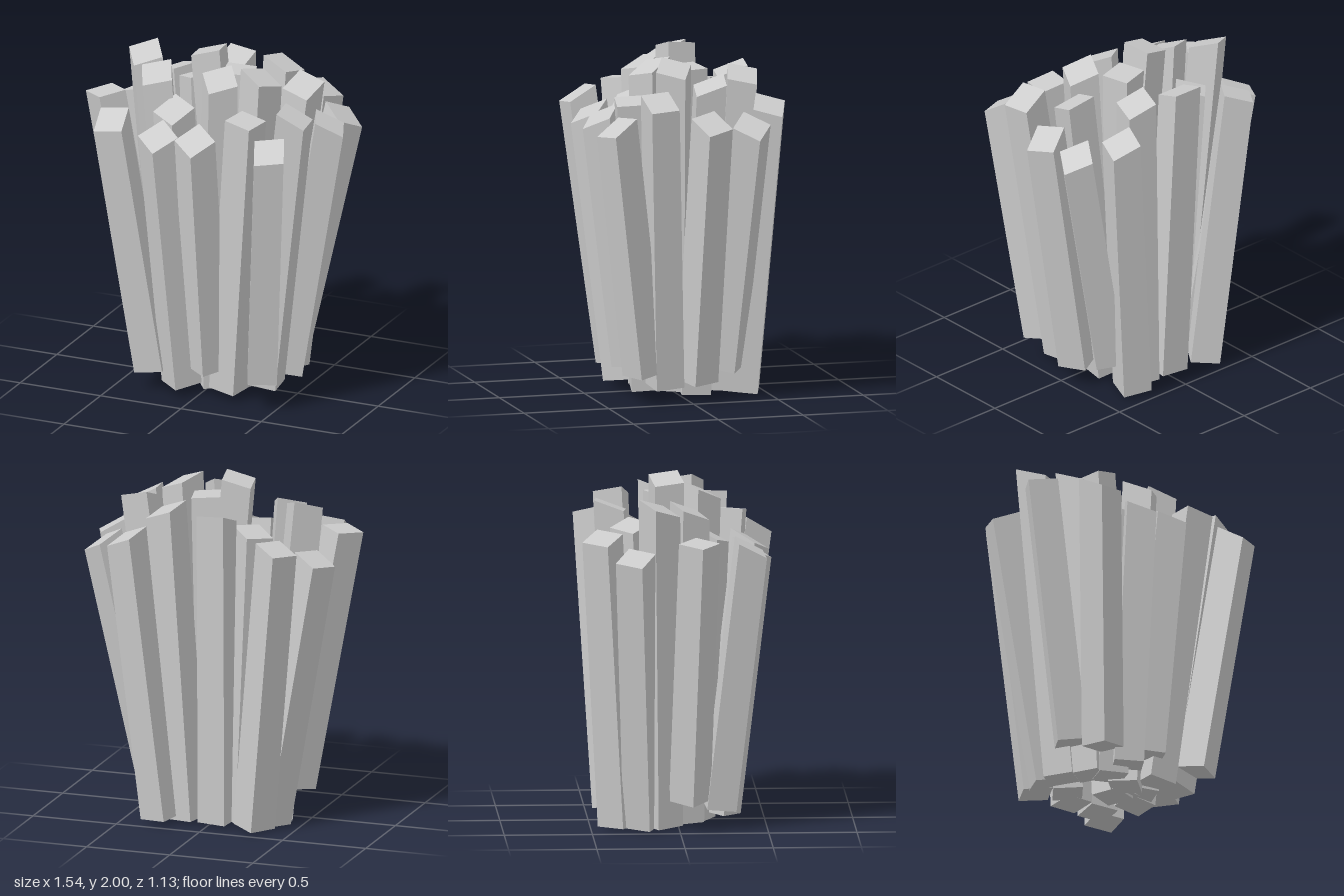
import * as THREE from 'three';

// Sticks grouped by the way their slanted upper end faces.
// slope: rise of that end along x and z.
// Each stick: top centre x, y, z, yaw in degrees, height of the lower end,
// and for those that lean differently, the x of the lower end
const GROUPS = [
  {
    name: 'frontCutStick',
    slope: [-0.05, -0.42],
    sticks: [
      [-0.06, 1.82, -0.38, -7, 0.02],
      [-0.50, 1.87, -0.12, 32, 0.02],
      [0.49, 1.83, -0.10, -9, 0.03, 0.25],
      [-0.35, 1.83, 0.06, 24, 0.03],
      [0.08, 1.88, 0.14, 37, 0.02, 0.02],
      [-0.19, 1.67, 0.18, -27, 0.03],
      [-0.48, 1.64, 0.40, 6, 0.12],
      [-0.18, 1.59, 0.42, -38, 0.06],
      [0.05, 1.60, 0.42, -34, 0.17, 0.05],
      [0.53, 1.62, 0.46, 24, 0.17, 0.40],
    ],
  },
  {
    name: 'leftCutStick',
    slope: [-0.36, 0.05],
    sticks: [
      [0.25, 1.84, -0.36, -15, 0.02],
      [0.45, 1.69, -0.46, -19, 0.03],
      [0.65, 1.61, -0.30, -35, 0.18, 0.34],
      [0.67, 1.64, -0.06, 24, 0.12],
      [0.30, 1.90, 0.06, -27, 0.04],
      [0.58, 1.76, 0.22, 6, 0.09],
    ],
  },
  {
    name: 'rightCutStick',
    slope: [0.2, 0.05],
    sticks: [
      [-0.44, 1.69, -0.44, -34, 0.02],
      [-0.24, 1.73, -0.27, -42, 0.02],
      [-0.61, 1.60, -0.26, -30, 0.02, -0.32],
      [-0.08, 1.97, -0.06, 10, 0.03, 0.10],
    ],
  },
  {
    name: 'squareCutStick',
    slope: [-0.05, 0],
    sticks: [
      [0.10, 1.87, -0.08, 13, 0.02],
      [-0.65, 1.69, 0.10, -38, 0.17, -0.38],
      [0.32, 1.73, 0.32, -11, 0.05, 0.16],
    ],
  },
];
const WIDTH = 0.168;
const UP = new THREE.Vector3(0, 1, 0);

// A square bar fanning outward from its lower end, with a slanted upper end
function createStick([x, y, z, yaw, baseY, baseX = x * 0.62], [slopeX, slopeZ], material) {
  const top = new THREE.Vector3(x, y, z);
  const bottom = new THREE.Vector3(baseX, baseY, z * (z > 0 ? 0.58 : 0.78));
  const axis = top.clone().sub(bottom);
  const geometry = new THREE.BoxGeometry(WIDTH, axis.length(), WIDTH);
  geometry.rotateY(THREE.MathUtils.degToRad(yaw));
  const points = geometry.attributes.position;
  for (let i = 0; i < points.count; i++) {
    const height = points.getY(i);
    if (height > 0) points.setY(i, height + slopeX * points.getX(i) + slopeZ * points.getZ(i));
  }
  geometry.computeVertexNormals();
  const stick = new THREE.Mesh(geometry, material);
  stick.quaternion.setFromUnitVectors(UP, axis.normalize());
  stick.position.copy(top).add(bottom).multiplyScalar(0.5);
  return stick;
}

export function createModel() {
  const model = new THREE.Group();
  model.name = 'bundleOfSticks';
  const material = new THREE.MeshStandardMaterial({ color: 0xcccccc, flatShading: true });
  for (const { name, slope, sticks } of GROUPS) {
    sticks.forEach((data, i) => {
      const stick = createStick(data, slope, material);
      stick.name = `${name}${i + 1}`;
      model.add(stick);
    });
  }
  return model;
}
